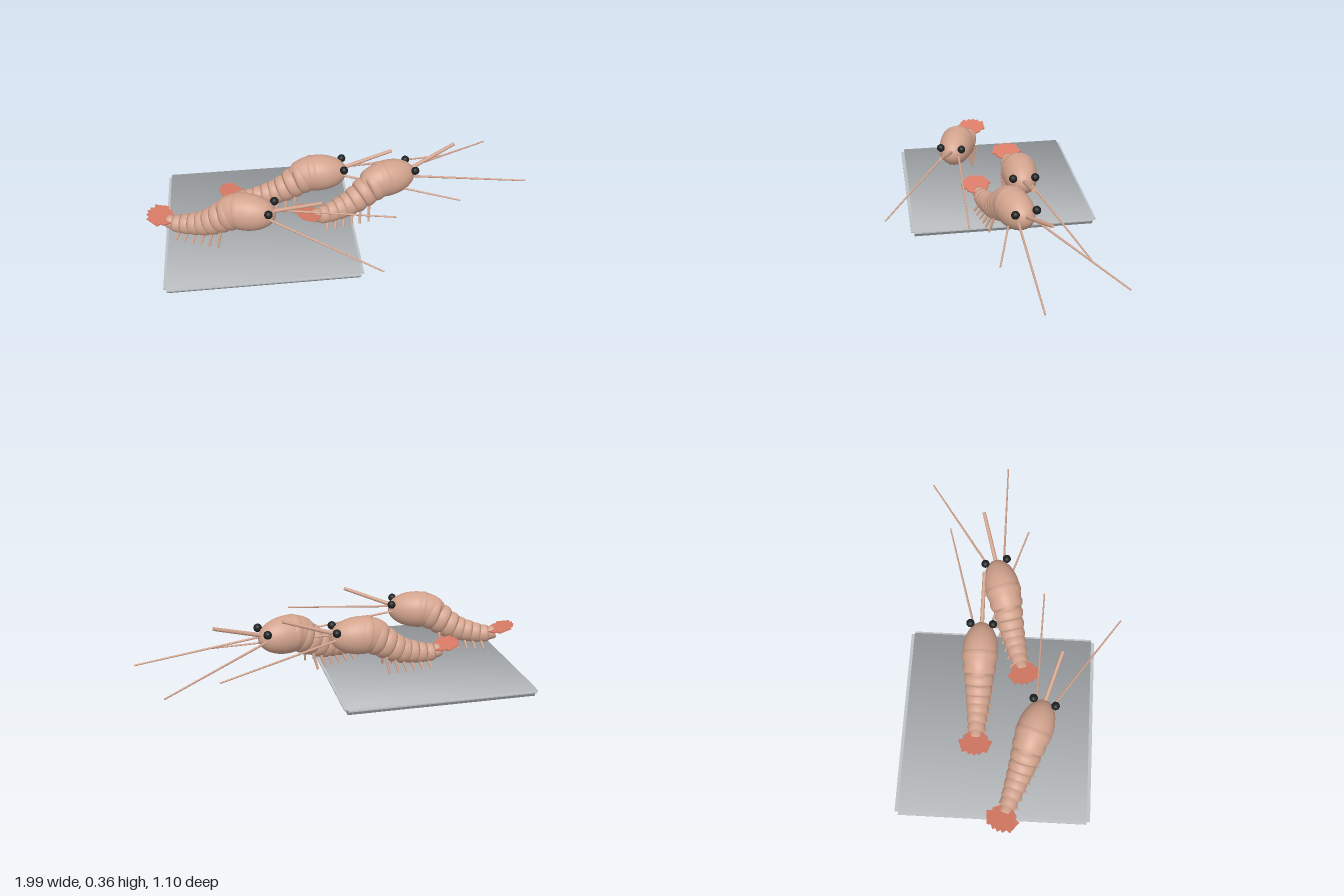
import * as THREE from 'three';

const material = (name, color, side = THREE.FrontSide) => {
  const m = new THREE.MeshStandardMaterial({ color, side });
  m.name = name;
  return m;
};
const shell = material('shell pink', 0xd3a48e);
const fanRed = material('tail red', 0xd97b66, THREE.DoubleSide);
const eyeBlack = material('eye black', 0x1c1f20);
const plateGrey = material('plate grey', 0xbcc0c3);

const V = (x, y, z) => new THREE.Vector3(x, y, z);
const UP = V(0, 1, 0);

function add(parent, name, geometry, mat) {
  const mesh = new THREE.Mesh(geometry, mat);
  mesh.name = name;
  parent.add(mesh);
  return mesh;
}

// Round stick from a to b
function stick(parent, name, a, b, r0, r1) {
  const d = b.clone().sub(a);
  const m = add(parent, name, new THREE.CylinderGeometry(r1, r0, d.length(), 10), shell);
  m.position.copy(a).add(b).multiplyScalar(0.5);
  m.quaternion.setFromUnitVectors(UP, d.normalize());
}

// Barrel-shaped body ring with unit radius and unit half length
const barrel = new THREE.LatheGeometry(
  [[0, -1], [0.84, -0.95], [0.95, -0.6], [1, 0], [0.95, 0.6], [0.84, 0.95], [0, 1]]
    .map(([x, y]) => new THREE.Vector2(x, y)), 28);

// Shrimp facing +x, with its origin between the eyes at ground level
function shrimp(x, z, yaw) {
  const g = new THREE.Group();
  g.name = 'shrimp';
  g.position.set(x, 0, z);
  g.rotation.y = yaw;

  const head = add(g, 'head', new THREE.SphereGeometry(1, 32, 24), shell);
  head.scale.set(0.155, 0.096, 0.09);
  head.position.set(-0.134, 0.245, 0);

  // Curved body: x, y, radius of each ring, from head to tail
  const rings = [
    [-0.155, 0.247, 0.097], [-0.215, 0.225, 0.09], [-0.262, 0.193, 0.081],
    [-0.31, 0.163, 0.073], [-0.355, 0.143, 0.066], [-0.4, 0.132, 0.06],
    [-0.445, 0.123, 0.054], [-0.49, 0.118, 0.047], [-0.525, 0.122, 0.036],
  ];
  rings.forEach(([rx, ry, r], i) => {
    const a = rings[Math.max(i - 1, 0)], b = rings[Math.min(i + 1, rings.length - 1)];
    const ring = add(g, 'bodyRing', barrel, shell);
    ring.position.set(rx, ry, 0);
    ring.scale.set(r, 0.034, r * 0.95);
    // Each ring leans back a little so the shells overlap
    ring.rotation.z = Math.atan2(a[1] - b[1], a[0] - b[0]) - Math.PI / 2 - 0.12;
  });

  // Toothed tail fan
  const half = [[0, 0.028], [0.03, 0.062], [0.045, 0.06], [0.055, 0.084],
    [0.08, 0.074], [0.12, 0.06], [0.112, 0.04], [0.132, 0.026], [0.122, 0.012]];
  const outline = [...half, [0.137, 0], ...half.slice().reverse().map(([u, v]) => [u, -v])];
  const fanShape = new THREE.Shape(outline.map(([u, v]) => new THREE.Vector2(-u, v)));
  const fan = add(g, 'tailFan', new THREE.ExtrudeGeometry(fanShape, { depth: 0.007, bevelEnabled: false })
    .rotateX(-Math.PI / 2), fanRed);
  fan.position.set(-0.52, 0.135, 0);
  fan.rotation.z = -0.29;

  // Long horn on the head
  stick(g, 'horn', V(-0.03, 0.255, 0), V(0.257, 0.35, 0), 0.011, 0.009);

  for (const s of [-1, 1]) {
    const eye = add(g, 'eye', new THREE.SphereGeometry(0.021, 16, 12), eyeBlack);
    eye.position.set(0, 0.286, s * 0.057);

    stick(g, 'antenna', V(-0.03, 0.247, s * 0.032), V(0.59, 0.153, s * 0.212), 0.006, 0.004);

    // Legs under the abdomen
    rings.slice(2, 8).forEach(([rx, ry, r]) => {
      stick(g, 'leg', V(rx + 0.008, ry - r * 0.55, s * r * 0.5),
        V(rx - 0.008, 0.05, s * (r * 0.6 + 0.02)), 0.008, 0.006);
    });
  }
  return g;
}

// Plate half with softened normals, dir +1 for the upper half and -1 for the lower
function plateHalf(w, h, d, dir) {
  const geo = new THREE.BoxGeometry(w, h, d);
  const p = geo.attributes.position, n = geo.attributes.normal;
  for (let i = 0; i < p.count; i++) {
    const v = V(Math.sign(p.getX(i)), dir, Math.sign(p.getZ(i))).normalize();
    n.setXYZ(i, v.x, v.y, v.z);
  }
  return geo;
}

function plate() {
  const g = new THREE.Group();
  g.name = 'plate';
  g.position.set(-0.43, 0, -0.068);
  const w = 0.94, d = 0.935, h = 0.0225;
  add(g, 'plateBottom', plateHalf(w, h, d, -1), plateGrey).position.y = h / 2;
  add(g, 'plateTop', plateHalf(w, h, d, 1), plateGrey).position.y = h * 1.5;
  // Thin rim with notched corners
  for (const [rw, rd] of [[w + 0.03, d], [w, d + 0.036]]) {
    add(g, 'rim', new THREE.BoxGeometry(rw, 0.006, rd), plateGrey).position.y = 0.0245;
  }
  return g;
}

export function createModel() {
  const model = new THREE.Group();
  model.name = 'shrimpPlatter';
  model.add(
    plate(),
    shrimp(-0.372, 0.163, -0.31),
    shrimp(0.02, -0.17, 0),
    shrimp(0.368, -0.118, 0.3),
  );
  return model;
}
